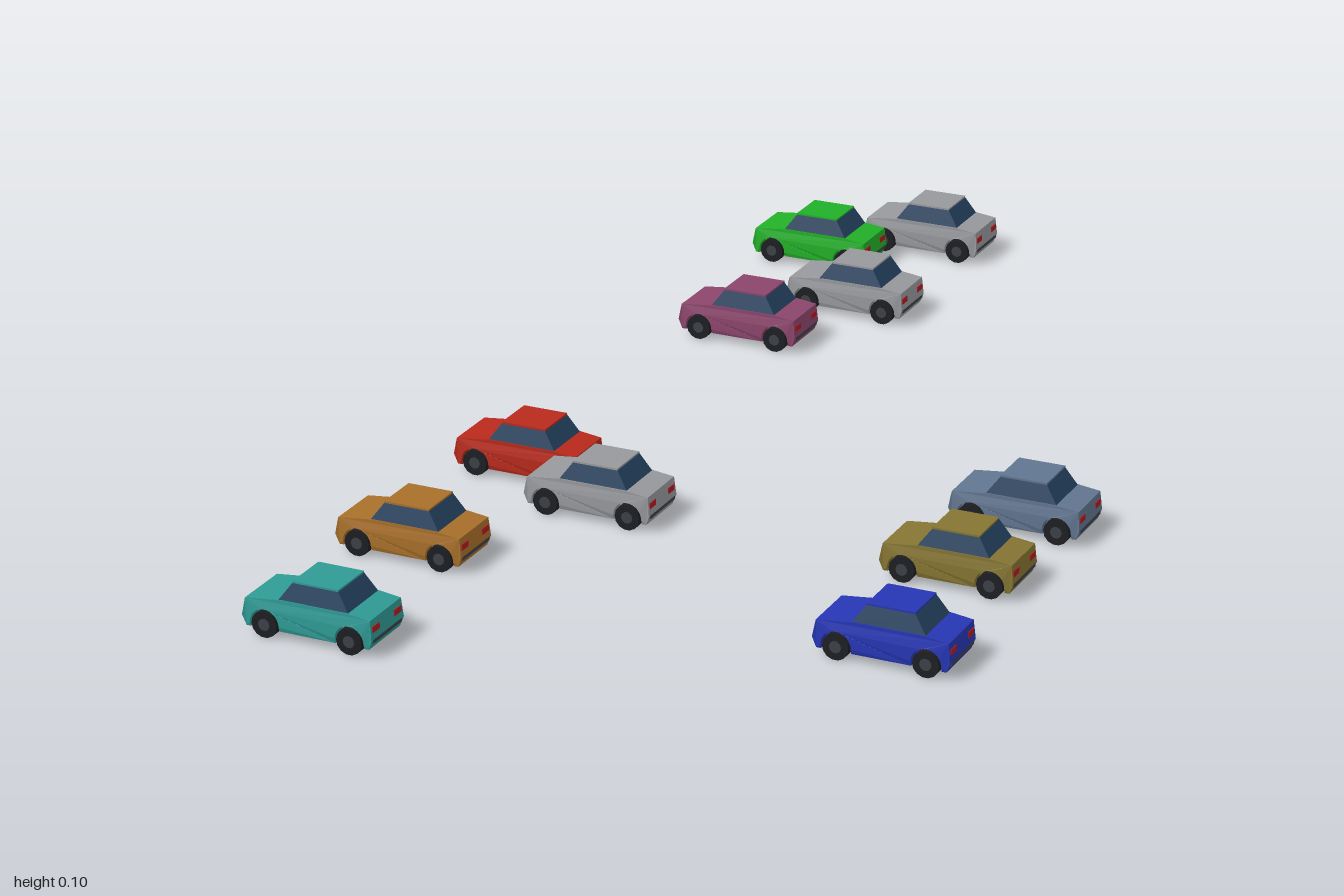
import * as THREE from 'three';

// Parked cars: colour, x, z
const CARS = [
  [0x2f9a94, -0.895, 0.166], [0xa86f2a, -0.622, -0.018], [0xb82a1c, -0.294, -0.19],
  [0x96989c, -0.288, 0.015], [0x2636b4, -0.228, 0.731], [0x857432, 0.025, 0.56],
  [0x617590, 0.24, 0.457], [0x8c456c, 0.36, -0.489], [0x96989c, 0.595, -0.489],
  [0x22b028, 0.694, -0.735], [0x96989c, 0.897, -0.662],
];
const WHEEL_Z = 0.074, WHEEL_R = 0.022;

const mat = (color) => new THREE.MeshStandardMaterial({ color, flatShading: true });

// Side profile in (z, y) turned into a solid centred across x
function sideExtrude(shape, width) {
  const g = new THREE.ExtrudeGeometry(shape, { depth: width, bevelEnabled: false, curveSegments: 8 });
  g.translate(0, 0, -width / 2);
  g.rotateY(-Math.PI / 2);
  return g;
}

// Narrow a geometry's width by a factor depending on height
function taper(g, rule) {
  const p = g.attributes.position;
  for (let i = 0; i < p.count; i++) p.setX(i, p.getX(i) * rule(p.getY(i)));
  g.computeVertexNormals();
  return g;
}

// Lower body with wheel arches; the nose points to -z
function bodyGeometry() {
  const s = new THREE.Shape();
  const r = 0.025, b = 0.014;
  s.moveTo(-0.107, b);
  for (const z of [-WHEEL_Z, WHEEL_Z]) {
    s.lineTo(z - r, b);
    s.absarc(z, 0.022, r, Math.PI, 0, true);
    s.lineTo(z + r, b);
  }
  s.lineTo(0.107, b);
  s.lineTo(0.113, 0.03);
  s.lineTo(0.11, 0.062);
  s.lineTo(0.07, 0.067);
  s.lineTo(-0.045, 0.067);
  s.lineTo(-0.108, 0.06);
  s.lineTo(-0.113, 0.032);
  s.closePath();
  return taper(sideExtrude(s, 0.102), (y) => (y > 0.055 ? 0.95 : y < 0.02 ? 0.95 : 1));
}

// Glass cabin, narrowing to the roof
function cabinGeometry() {
  const s = new THREE.Shape();
  s.moveTo(-0.05, 0.066);
  s.lineTo(0.072, 0.066);
  s.lineTo(0.052, 0.096);
  s.lineTo(-0.028, 0.096);
  s.closePath();
  return taper(sideExtrude(s, 0.094), (y) => (y > 0.08 ? 0.85 : 1));
}

export function createModel() {
  const group = new THREE.Group();
  const geo = {
    body: bodyGeometry(),
    cabin: cabinGeometry(),
    roof: new THREE.BoxGeometry(0.08, 0.004, 0.08),
    floor: new THREE.BoxGeometry(0.062, 0.04, 0.2),
    wheel: new THREE.CylinderGeometry(WHEEL_R, WHEEL_R, 0.018, 14).rotateZ(Math.PI / 2),
    hub: new THREE.CylinderGeometry(0.01, 0.01, 0.001, 10).rotateZ(Math.PI / 2),
    light: new THREE.BoxGeometry(0.022, 0.01, 0.004),
    bumper: new THREE.BoxGeometry(0.09, 0.006, 0.004),
  };
  const glass = mat(0x23415f), rubber = mat(0x1c1e22), metal = mat(0x3c4046);
  const headMat = mat(0xd8d8d0), tailMat = mat(0xb01c20);

  for (const [color, x, z] of CARS) {
    const car = new THREE.Group();
    car.name = 'car';
    const add = (name, g, m, px = 0, py = 0, pz = 0) => {
      const mesh = new THREE.Mesh(g, m);
      mesh.name = name;
      mesh.position.set(px, py, pz);
      car.add(mesh);
    };
    const paint = mat(color);
    add('body', geo.body, paint);
    add('cabin', geo.cabin, glass);
    add('roof', geo.roof, paint, 0, 0.097, 0.012);
    add('underbody', geo.floor, paint, 0, 0.034, 0);
    add('frontBumper', geo.bumper, metal, 0, 0.027, -0.111);
    add('rearBumper', geo.bumper, metal, 0, 0.027, 0.111);
    for (const side of [-1, 1]) {
      add('headlight', geo.light, headMat, side * 0.034, 0.046, -0.1105);
      add('taillight', geo.light, tailMat, side * 0.034, 0.046, 0.1105);
      for (const wz of [-WHEEL_Z, WHEEL_Z]) {
        add('wheel', geo.wheel, rubber, side * 0.043, WHEEL_R, wz);
        add('hub', geo.hub, metal, side * 0.0523, WHEEL_R, wz);
      }
    }
    car.position.set(x, 0, z);
    car.rotation.y = Math.PI / 6;
    group.add(car);
  }
  return group;
}
